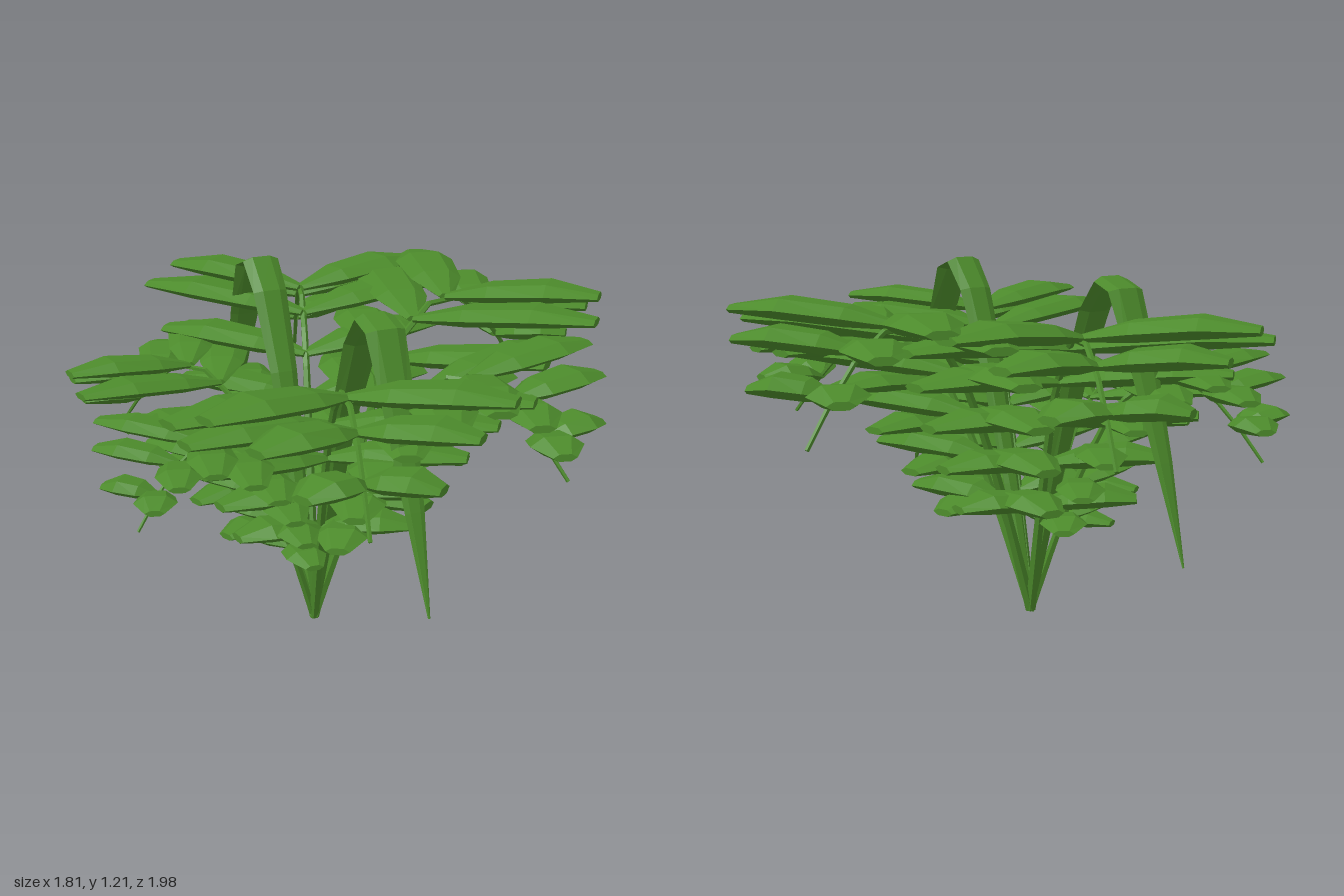
import * as THREE from 'three';

const green = new THREE.MeshStandardMaterial({ color: 0x4c8a2b, flatShading: true });

// Closed loft: each section is [x, y, halfWidth, halfThickness], swept in the xy plane
function loft(sections, sides) {
  const pos = [], idx = [], n = sections.length;
  sections.forEach(([x, y, w, t], i) => {
    const a = sections[Math.max(i - 1, 0)], b = sections[Math.min(i + 1, n - 1)];
    const dir = new THREE.Vector2(b[0] - a[0], b[1] - a[1]).normalize();
    for (let j = 0; j < sides; j++) {
      const ang = (j / sides) * Math.PI * 2;
      const up = Math.sin(ang) * t;
      pos.push(x - dir.y * up, y + dir.x * up, Math.cos(ang) * w);
    }
  });
  for (let i = 0; i < n - 1; i++) {
    for (let j = 0; j < sides; j++) {
      const k = (j + 1) % sides, p = i * sides, q = p + sides;
      idx.push(p + j, q + j, p + k, q + j, q + k, p + k);
    }
  }
  const end = (n - 1) * sides;
  for (let j = 1; j < sides - 1; j++) idx.push(0, j, j + 1, end, end + j + 1, end + j);
  const g = new THREE.BufferGeometry();
  g.setAttribute('position', new THREE.Float32BufferAttribute(pos, 3));
  g.setIndex(idx);
  g.computeVertexNormals();
  return g;
}

function part(name, geometry) {
  const m = new THREE.Mesh(geometry, green);
  m.name = name;
  return m;
}

const stemCurve = new THREE.CatmullRomCurve3(
  [[0, 0.02], [0.1, 0.32], [0.21, 0.62], [0.35, 0.9], [0.52, 1.05], [0.68, 1.04], [0.82, 0.92], [0.96, 0.74]]
    .map(([r, y]) => new THREE.Vector3(r, y, 0)));

// Unit-length leaflet: a flattened, six-sided pod, widest past the middle
const leafGeometry = loft([
  [0, 0, 0.025, 0.012], [0.3, 0.015, 0.085, 0.034], [0.68, 0.02, 0.1, 0.036], [1, 0, 0.045, 0.014],
], 6);

const stemGeometry = loft(Array.from({ length: 13 }, (_, i) => {
  const p = stemCurve.getPointAt(i / 12), r = 0.019 - 0.012 * (i / 12);
  return [p.x, p.y, r, r];
}), 5);

// Arching stem with paired leaflets: short at the base, long at the crown, short at the tip
function makeFrond() {
  const frond = new THREE.Group();
  frond.name = 'frond';
  frond.add(part('stem', stemGeometry));
  const pairs = 8;
  for (let i = 0; i < pairs; i++) {
    const u = i / (pairs - 1);
    const p = stemCurve.getPointAt(0.25 + 0.65 * u);
    const length = u < 0.6
      ? THREE.MathUtils.lerp(0.32, 0.64, u / 0.6)
      : THREE.MathUtils.lerp(0.64, 0.25, (u - 0.6) / 0.4);
    const yaw = THREE.MathUtils.lerp(1.25, 0.95, u);
    for (const side of [-1, 1]) {
      const leaf = part('leaflet', leafGeometry);
      leaf.position.copy(p);
      leaf.rotation.set(0, side * yaw, 0.08, 'YZX');
      leaf.scale.set(length, 1, 0.8 + length * 0.5);
      frond.add(leaf);
    }
  }
  return frond;
}

// Bare ribbon blade that rises, folds over and hangs to a point
const bladeGeometry = loft([
  [0, 0.02, 0.015, 0.012], [0.12, 0.45, 0.03, 0.014], [0.24, 0.85, 0.05, 0.016],
  [0.35, 1.11, 0.062, 0.018], [0.43, 1.205, 0.066, 0.018], [0.5, 1.18, 0.066, 0.016],
  [0.59, 0.98, 0.055, 0.01], [0.7, 0.68, 0.033, 0.006], [0.8, 0.38, 0.004, 0.002],
], 6);

export function createModel() {
  const model = new THREE.Group();
  model.name = 'fern';
  const plant = new THREE.Group();
  plant.name = 'plant';
  plant.position.set(-0.035, 0, 0.035);
  model.add(plant);

  // Six fronds: tip offset from the crown in x and z sets heading and size
  const tips = [[-0.48, -0.83], [0.42, -0.88], [-0.79, -0.04], [0.88, 0.01], [-0.3, 0.63], [0.53, 0.75]];
  for (const [x, z] of tips) {
    const frond = makeFrond();
    frond.rotation.y = Math.atan2(-z, x);
    frond.scale.setScalar(Math.hypot(x, z) / 0.96);
    plant.add(frond);
  }

  // Two opposite bare blades
  for (const side of [-1, 1]) {
    const blade = part('blade', bladeGeometry);
    blade.rotation.y = Math.atan2(-0.51 * side, 0.62 * side);
    plant.add(blade);
  }
  return model;
}
